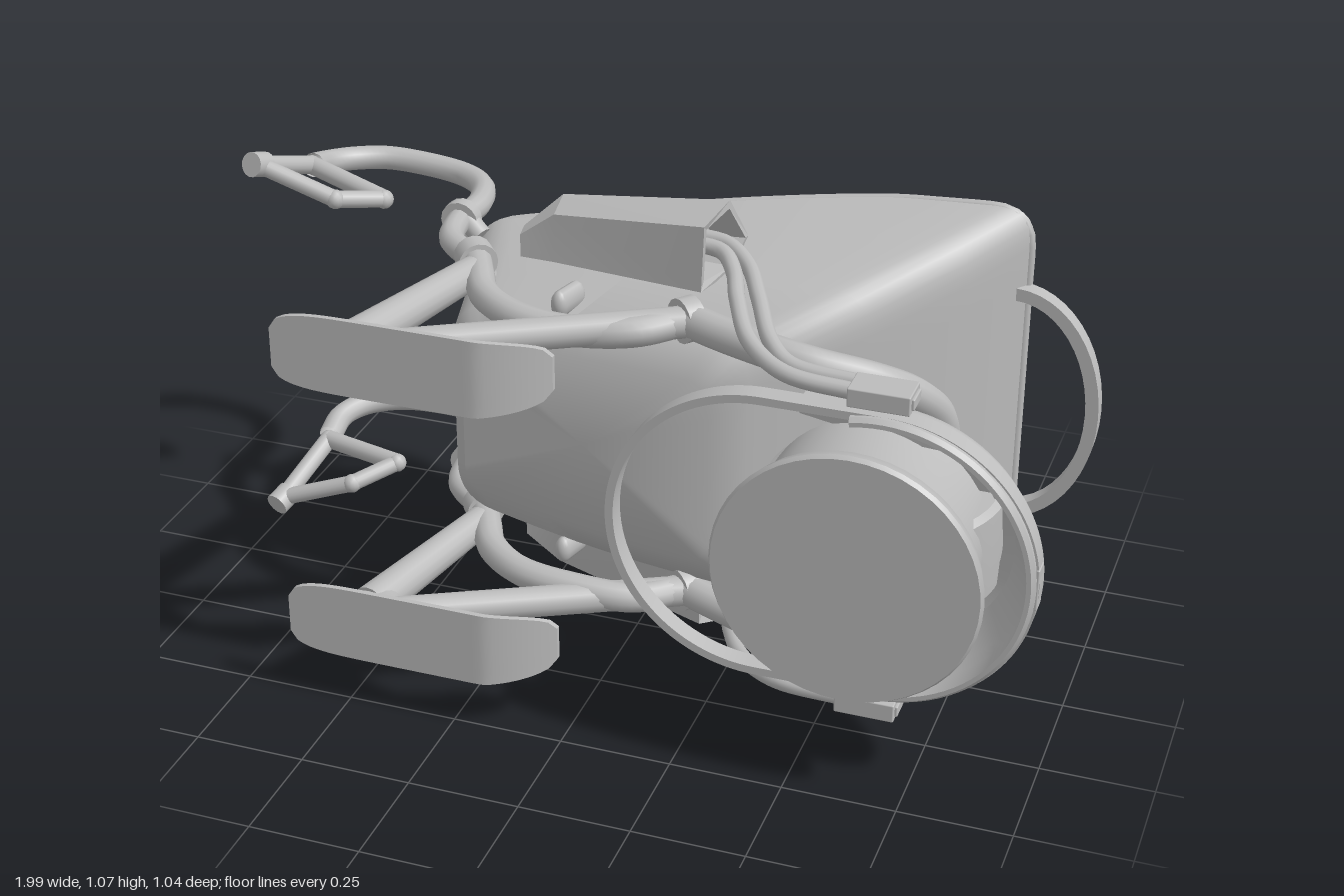
import * as THREE from 'three';
import { toCreasedNormals } from 'three/addons/utils/BufferGeometryUtils.js';
import { RoundedBoxGeometry } from 'three/addons/geometries/RoundedBoxGeometry.js';

const grey = new THREE.MeshStandardMaterial({ color: 0xbcbcbc, side: THREE.DoubleSide });
grey.name = 'plain grey';
const V = (p) => new THREE.Vector3(...p);

// Everything is built upright (x forward, y up, z sideways), then laid over at the end.
export function createModel() {
  const model = new THREE.Group();
  model.name = 'wheelbarrow';
  const body = new THREE.Group();
  body.name = 'barrow';
  body.rotation.x = -Math.PI / 2;
  body.position.y = 0.53;
  model.add(body);

  const add = (name, geo, parent = body) => {
    const m = new THREE.Mesh(geo, grey);
    m.name = name;
    parent.add(m);
    return m;
  };
  const tube = (name, pts, r, parent, segs = 40) =>
    add(name, new THREE.TubeGeometry(new THREE.CatmullRomCurve3(pts.map(V)), segs, r, 12), parent);
  // straight cylinder between two points
  const rod = (name, a, b, r, parent, r2 = r) => {
    const d = V(b).sub(V(a));
    const m = add(name, new THREE.CylinderGeometry(r2, r, d.length(), 16), parent);
    m.position.copy(V(a).add(V(b)).multiplyScalar(0.5));
    m.quaternion.setFromUnitVectors(new THREE.Vector3(0, 1, 0), d.normalize());
    return m;
  };
  const box = (name, size, pos, parent, r = 0.003) => {
    const m = add(name, new RoundedBoxGeometry(...size, 3, r), parent);
    m.position.set(...pos);
    return m;
  };
  // skin over equal-length rings of points, closed at both ends
  const loft = (rings, crease = 0.6) => {
    const n = rings[0].length, pos = [], idx = [];
    rings.forEach((r) => r.forEach((p) => pos.push(...p)));
    for (let i = 0; i < rings.length - 1; i++)
      for (let j = 0; j < n; j++) {
        const a = i * n + j, b = i * n + (j + 1) % n;
        idx.push(a, b, a + n, b, b + n, a + n);
      }
    [0, rings.length - 1].forEach((k) => {
      const c = pos.length / 3;
      pos.push(...[0, 1, 2].map((q) => rings[k].reduce((s, p) => s + p[q], 0) / n));
      for (let j = 0; j < n; j++) {
        const a = k * n + j, b = k * n + (j + 1) % n;
        idx.push(...(k ? [a, b, c] : [b, a, c]));
      }
    });
    const g = new THREE.BufferGeometry();
    g.setAttribute('position', new THREE.Float32BufferAttribute(pos, 3));
    g.setIndex(idx);
    return toCreasedNormals(g, crease);
  };

  // --- Tub: rounded trapezoid rings, outside up to the rim then down the inside
  // level: back x, front x, back y, front y, back half-width, front half-width, corner radius, kink
  const tubRing = ([xb, xf, yb, yf, wb, wf, r, kink], inset = 0) => {
    const c = [[xb + inset, wb - inset], [xf - inset, wf - inset], [xf - inset, inset - wf], [xb + inset, inset - wb]]
      .map((p) => new THREE.Vector2(...p));
    const flat = [];
    c.forEach((p, i) => {
      const to = (q) => p.clone().add(q.clone().sub(p).setLength(r));
      const next = c[(i + 1) % 4];
      const a = to(c[(i + 3) % 4]), b = to(next);
      flat.push(...new THREE.QuadraticBezierCurve(a, p, b).getPoints(7));
      const e = next.clone().add(p.clone().sub(next).setLength(r));
      for (let k = 1; k < 10; k++) flat.push(b.clone().lerp(e, k / 10));
    });
    return flat.map((p) => {
      const f = Math.min(1, Math.max(0, (p.x - xb) / (xf - xb)));
      return [p.x, yb + (yf - yb) * Math.min(1, f / kink), p.y * (1 + 0.07 * Math.sin(Math.PI * f))];
    });
  };
  const levels = [
    [-0.38, 0.22, -0.1, -0.18, 0.18, 0.22, 0.05, 1],
    [-0.42, 0.3, -0.05, -0.14, 0.245, 0.295, 0.09, 1],
    [-0.44, 0.51, 0.05, 0.05, 0.27, 0.375, 0.1, 0.9],
    [-0.465, 0.68, 0.15, 0.24, 0.295, 0.44, 0.1, 0.8],
    [-0.485, 0.785, 0.25, 0.4, 0.315, 0.473, 0.09, 0.74],
  ];
  const inner = levels.map((l) => tubRing([l[0], l[1], l[2] + 0.01, l[3] + 0.01, ...l.slice(4)], 0.02)).reverse();
  add('tub', loft([...levels.map((l) => tubRing(l)), ...inner], 0.7));
  const rimPts = tubRing(levels[4], 0.01).map(V);
  add('tubRim', new THREE.TubeGeometry(new THREE.CatmullRomCurve3(rimPts, true), 140, 0.013, 8, true));

  // --- Flat curved grab rail on the nose of the tub
  const arc = (rx, rz) => Array.from({ length: 25 }, (_, i) => {
    const a = (i / 24 - 0.5) * Math.PI;
    return new THREE.Vector2(0.76 + rx * Math.cos(a), rz * Math.sin(a));
  });
  const railGeo = new THREE.ExtrudeGeometry(new THREE.Shape([...arc(0.205, 0.29), ...arc(0.175, 0.26).reverse()]),
    { depth: 0.04, bevelEnabled: false });
  railGeo.rotateX(-Math.PI / 2);
  add('noseRail', toCreasedNormals(railGeo, 0.5)).position.y = 0.36;

  // --- Wheel, hollow front skirt and base disc
  const wheel = new THREE.Group();
  wheel.name = 'wheelUnit';
  wheel.position.x = 0.655;
  body.add(wheel);
  const lathe = (name, pts, x = 0, start = 0, sweep = Math.PI * 2) => {
    const g = new THREE.LatheGeometry(pts.map((p) => new THREE.Vector2(...p)), 48, start, sweep);
    const m = add(name, toCreasedNormals(g, 0.5), wheel);
    m.position.x = x;
    return m;
  };
  lathe('skirt', [[0.23, -0.245], [0.258, -0.255], [0.305, -0.325], [0.315, -0.35], [0.315, -0.415], [0.325, -0.415], [0.333, -0.405],
    [0.333, -0.345], [0.322, -0.32], [0.275, -0.25], [0.258, -0.232], [0.23, -0.225], [0, -0.22]], 0, -0.2, Math.PI + 0.4);
  lathe('baseDisc', [[0, -0.5], [0.282, -0.5], [0.288, -0.49], [0.28, -0.46], [0.262, -0.44], [0.25, -0.41], [0.245, -0.25], [0.23, -0.235], [0, -0.22]], -0.04);
  const wheelMesh = lathe('wheel', [[0, -0.105], [0.235, -0.105], [0.25, -0.095], [0.253, 0], [0.25, 0.095], [0.235, 0.105], [0, 0.105]]);
  wheelMesh.rotation.x = Math.PI / 2;
  wheelMesh.position.set(-0.025, -0.235, 0);
  box('badge', [0.008, 0.04, 0.095], [0.333, -0.38, 0], wheel);

  // Thin guard band looping back from the skirt
  const stadium = (path, r) => {
    path.absarc(0.66, 0, r, -Math.PI / 2, Math.PI / 2);
    path.absarc(0.4, 0, r, Math.PI / 2, Math.PI * 1.5);
    return path;
  };
  const band = stadium(new THREE.Shape(), 0.333);
  band.holes.push(stadium(new THREE.Path(), 0.315));
  const bandGeo = new THREE.ExtrudeGeometry(band, { depth: 0.045, bevelEnabled: false, curveSegments: 32 });
  bandGeo.rotateX(-Math.PI / 2);
  add('guardBand', toCreasedNormals(bandGeo, 0.5)).position.y = -0.397;

  // Clamp where the two frame tubes meet over the wheel
  box('yokeClamp', [0.1, 0.095, 0.1], [0.692, 0.018, 0], body, 0.015).rotation.z = -0.25;
  [-1, 1].forEach((s) => rod('yokeCollar', [0.69, 0.02, s * 0.045], [0.688, 0.012, s * 0.068], 0.052));

  // --- Parts made once per side
  [1, -1].forEach((s) => {
    const side = new THREE.Group();
    side.name = s > 0 ? 'upperSide' : 'lowerSide';
    body.add(side);
    const M = (pts) => pts.map(([x, y, z]) => [x, y, z * s]);
    const rodS = (n, a, b, r, r2) => rod(n, ...M([a, b]), r, side, r2);

    // Handle and long frame tube
    tube('handleTube', M([[-0.925, 0.31, 0.365], [-0.925, 0.38, 0.345], [-0.89, 0.44, 0.335], [-0.82, 0.485, 0.33], [-0.73, 0.495, 0.325], [-0.61, 0.475, 0.32],
      [-0.54, 0.42, 0.32], [-0.51, 0.33, 0.32], [-0.515, 0.22, 0.32], [-0.49, 0.12, 0.32], [-0.4, 0.04, 0.32]]), 0.029, side, 60);
    tube('frameTube', M([[-0.4, 0.05, 0.32], [-0.36, -0.03, 0.32], [-0.31, -0.12, 0.32], [-0.21, -0.195, 0.32], [-0.08, -0.22, 0.32], [0.06, -0.2, 0.33], [0.15, -0.12, 0.335]]), 0.034, side);
    tube('yokeTube', M([[0.14, -0.11, 0.335], [0.24, -0.155, 0.335], [0.35, -0.195, 0.335], [0.46, -0.21, 0.325], [0.58, -0.165, 0.288],
      [0.65, -0.09, 0.228], [0.685, -0.02, 0.15], [0.692, 0.012, 0.065], [0.692, 0.018, 0]]), 0.038, side, 50);
    rodS('handleCollar', [-0.515, 0.25, 0.32], [-0.515, 0.22, 0.32], 0.045);
    rodS('handleBracket', [-0.5, 0.235, 0.32], [-0.46, 0.22, 0.29], 0.025);
    rodS('frameCollar', [-0.415, 0.065, 0.32], [-0.385, 0.025, 0.32], 0.045);
    rodS('frameBracket', [-0.4, 0.045, 0.32], [-0.38, 0.05, 0.27], 0.03);
    rodS('yokeTubeCollar', [0.14, -0.13, 0.335], [0.165, -0.1, 0.335], 0.05);

    // Triangular grip
    const A = [-0.925, 0.3, 0.37], B = [-0.96, 0.11, 0.44], C = [-0.7, 0.215, 0.35], D = [-0.78, 0.125, 0.375];
    rodS('gripBar', A, B, 0.022);
    rodS('gripBrace', A, C, 0.022);
    rodS('gripLever', C, D, 0.02);
    rodS('gripLever', D, B, 0.02);
    rodS('gripEnd', [-0.955, 0.13, 0.435], [-0.968, 0.085, 0.45], 0.029);
    M([A, C, D]).forEach((p) => add('gripJoint', new THREE.SphereGeometry(0.023, 12, 8), side).position.set(...p));

    // Leg, strut, flared pedestal and foot
    rodS('leg', [-0.38, -0.02, 0.32], [-0.475, -0.43, 0.328], 0.036, 0.046);
    rodS('legStrut', [0.15, -0.13, 0.335], [-0.42, -0.44, 0.328], 0.035);
    const oval = ([y, cx, rx, rz]) => Array.from({ length: 24 }, (_, i) => {
      const a = (i / 24) * Math.PI * 2;
      return [cx + rx * Math.cos(a), y, s * (0.328 + rz * Math.sin(a))];
    });
    add('pedestal', loft([[-0.39, -0.465, 0.048, 0.035], [-0.44, -0.455, 0.085, 0.04], [-0.475, -0.42, 0.13, 0.05], [-0.508, -0.37, 0.2, 0.07]].map(oval)), side);
    const foot = new THREE.BoxGeometry(0.6, 0.012, 1, 40, 1, 6);
    const fp = foot.attributes.position;
    for (let i = 0; i < fp.count; i++) {
      const x = fp.getX(i), t = Math.abs(x / 0.3), lift = Math.max(0, x - 0.16);
      const half = (0.045 + 0.043 * Math.sqrt(Math.max(0, 1 - t ** 6))) * (1 - lift);
      fp.setXYZ(i, x, fp.getY(i) + lift * 0.3 + lift * lift * 2, fp.getZ(i) * 2 * half);
    }
    add('foot', toCreasedNormals(foot, 0.6), side).position.set(-0.33, -0.51, s * 0.328);

    // Hollow-ended side housing
    const end = [[-0.01, 0.5], [0.09, 0.533], [0.165, 0.425], [0.1, 0.36], [-0.02, 0.35]];
    const section = (x, ky, kz, cy, cz, slant = 0) => end.map(([y, z]) =>
      [x + slant * (y - 0.07), cy + (y - 0.07) * ky, s * (cz + (z - 0.44) * kz)]);
    add('sideHousing', loft([section(-0.3, 0.25, 0.35, 0.085, 0.365), section(-0.22, 0.6, 0.75, 0.115, 0.4), section(0.175, 0.85, 1, 0.065, 0.44, 0.3),
      section(0.175, 0.65, 0.8, 0.065, 0.44, 0.3), section(0.1, 0.58, 0.72, 0.07, 0.435, 0.3)], 0.3), side);

    // Cable pair from the housing to the wheel box
    [0, 0.04].forEach((d) => tube('cable', M([[0.1, 0.05 + d, 0.435], [0.18, 0.03 + d, 0.435], [0.23 + d * 0.5, -0.04 + d, 0.425], [0.27 + d, -0.14 + d * 0.6, 0.41],
      [0.34 + d, -0.27 + d * 0.4, 0.385], [0.44, -0.35 + d, 0.37], [0.6, -0.37 + d, 0.365]]), 0.018, side));
    const z = s * 0.365;
    box('cableBox', [0.13, 0.078, 0.042], [0.645, -0.36, z], side);
    box('cableBoxEndPlate', [0.008, 0.055, 0.025], [0.712, -0.36, z], side);

    // Axle with hub, end cap and tapered bracket
    rodS('axle', [0.615, -0.225, 0.08], [0.615, -0.245, 0.27], 0.013);
    rodS('axleHub', [0.615, -0.205, 0.1], [0.615, -0.205, 0.135], 0.036);
    rodS('axleCap', [0.615, -0.25, 0.265], [0.615, -0.25, 0.295], 0.03);
    const gusset = new THREE.Shape([[0.44, -0.17], [0.57, -0.195], [0.76, -0.3], [0.6, -0.285], [0.44, -0.24]].map((p) => new THREE.Vector2(...p)));
    add('axleBracket', new THREE.ExtrudeGeometry(gusset, { depth: 0.03, bevelEnabled: false }), side).position.z = s * 0.24 - 0.015;

    // Small latch on the tub side
    const latch = add('latch', new THREE.CapsuleGeometry(0.02, 0.06, 6, 12), side);
    latch.position.set(-0.14, -0.06, s * 0.31);
    latch.rotation.z = -0.25;
    latch.scale.z = 1.6;
  });
  return model;
}
